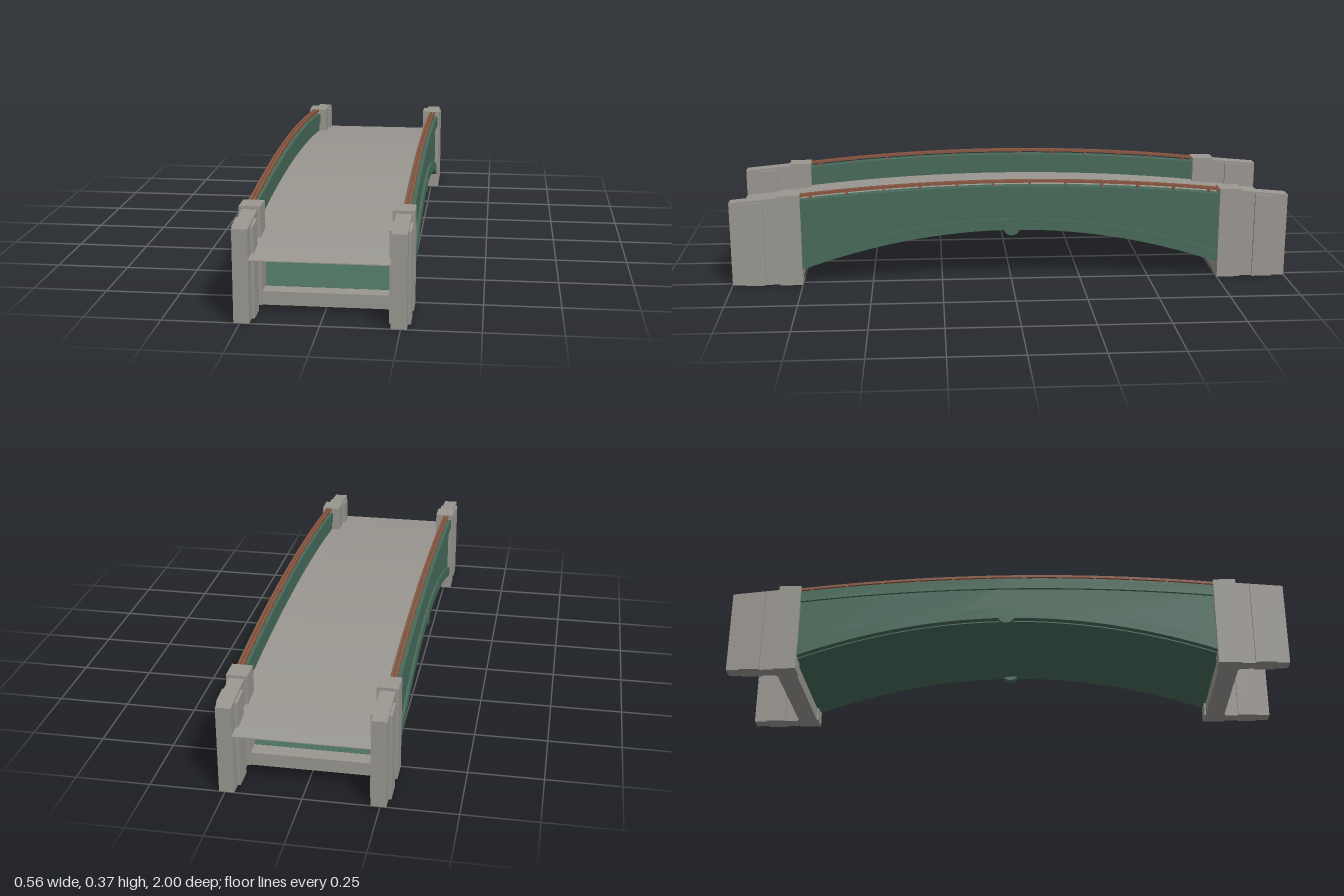
import * as THREE from 'three';

const stone = new THREE.MeshStandardMaterial({ color: 0x9a9791 });
stone.name = 'grey stone';
const green = new THREE.MeshStandardMaterial({ color: 0x476a5a });
green.name = 'green painted steel';
const brown = new THREE.MeshStandardMaterial({ color: 0x8a5640 });
brown.name = 'brown handrail';

// Rise of the roadway, parapet and handrail, and the steeper rise of the arch
const road = (crown) => (z) => crown - 0.071 * z * z;
const arch = (crown) => (z) => crown - 0.24 * z * z;

// Extrude a side outline, given as [z, y] points, from x0 to x1
function sideExtrude(points, x0, x1) {
  const shape = new THREE.Shape(points.map(([z, y]) => new THREE.Vector2(z, y)));
  const geo = new THREE.ExtrudeGeometry(shape, { depth: x1 - x0, bevelEnabled: false });
  geo.rotateY(-Math.PI / 2);
  geo.translate(x1, 0, 0);
  return geo;
}

// Strip between two curves over z = -half .. half
function curvedSlab(bottom, top, half, x0, x1, segments = 32) {
  const lower = [], upper = [];
  for (let i = 0; i <= segments; i++) {
    const z = -half + (2 * half * i) / segments;
    lower.push([z, bottom(z)]);
    upper.unshift([z, top(z)]);
  }
  return sideExtrude([...lower, ...upper], x0, x1);
}

export function createModel() {
  const model = new THREE.Group();
  model.name = 'archBridge';

  const add = (parent, name, geo, mat) => {
    const mesh = new THREE.Mesh(geo, mat);
    mesh.name = name;
    parent.add(mesh);
    return mesh;
  };
  const addBox = (parent, name, mat, x0, x1, y0, y1, z0, z1) =>
    add(parent, name, new THREE.BoxGeometry(x1 - x0, y1 - y0, z1 - z0), mat)
      .position.set((x0 + x1) / 2, (y0 + y1) / 2, (z0 + z1) / 2);

  // Thin curved deck and arch underside
  add(model, 'deck', curvedSlab(road(0.274), road(0.277), 1, -0.24, 0.24), stone);
  add(model, 'archSoffit', curvedSlab(arch(0.185), arch(0.189), 0.77, -0.25, 0.25), green);

  for (const s of [-1, 1]) {
    const side = new THREE.Group();
    side.name = s > 0 ? 'leftSide' : 'rightSide';
    model.add(side);
    const slab = (name, mat, bottom, top, a, b) =>
      add(side, name, curvedSlab(bottom, top, 0.76, Math.min(s * a, s * b), Math.max(s * a, s * b)), mat);

    // Recessed web between the arch rib and the parapet band
    slab('spandrelWeb', green, arch(0.195), road(0.34), 0.24, 0.264);
    slab('parapetBand', green, road(0.31), road(0.35), 0.236, 0.273);
    slab('archRib', green, arch(0.19), arch(0.23), 0.24, 0.273);

    // Round boss at the crown of the arch
    const boss = add(side, 'crownBoss', new THREE.CylinderGeometry(0.03, 0.03, 0.036, 24), green);
    boss.rotation.z = Math.PI / 2;
    boss.position.set(s * 0.257, 0.2, 0);

    // Twin handrails on short posts
    slab('innerHandrail', brown, road(0.361), road(0.37), 0.242, 0.25);
    slab('outerHandrail', brown, road(0.361), road(0.37), 0.254, 0.262);
    for (let i = 0; i < 12; i++) {
      const z = (i - 5.5) * 0.13;
      const y = road(0.348)(z);
      addBox(side, 'railPost', brown, s * 0.252 - 0.009, s * 0.252 + 0.009, y, y + 0.015, z - 0.004, z + 0.004);
    }

    // Stone pylons at both ends: block, sloping wing wall and pilaster
    for (const e of [-1, 1]) {
      const pylon = new THREE.Group();
      pylon.name = 'endPylon';
      side.add(pylon);
      const x = s * 0.245;
      addBox(pylon, 'pylonBlock', stone, x - 0.035, x + 0.035, 0, 0.33, e * 0.79 - 0.04, e * 0.79 + 0.04);
      const profile = (z0, y0, z1, y1) => [[e * z0, 0], [e * z1, 0], [e * z1, y1], [e * z0, y0]];
      add(pylon, 'wingWall', sideExtrude(profile(0.82, 0.321, 1, 0.304), x - 0.025, x + 0.025), stone);
      add(pylon, 'pilaster', sideExtrude(profile(0.88, 0.307, 0.953, 0.3), x - 0.034, x + 0.034), stone);
    }
  }

  // Sill beams joining the pylons at ground level
  for (const e of [-1, 1]) {
    addBox(model, 'sillBeam', stone, -0.22, 0.22, 0, 0.046, e * 0.79 - 0.035, e * 0.79 + 0.035);
  }
  return model;
}
